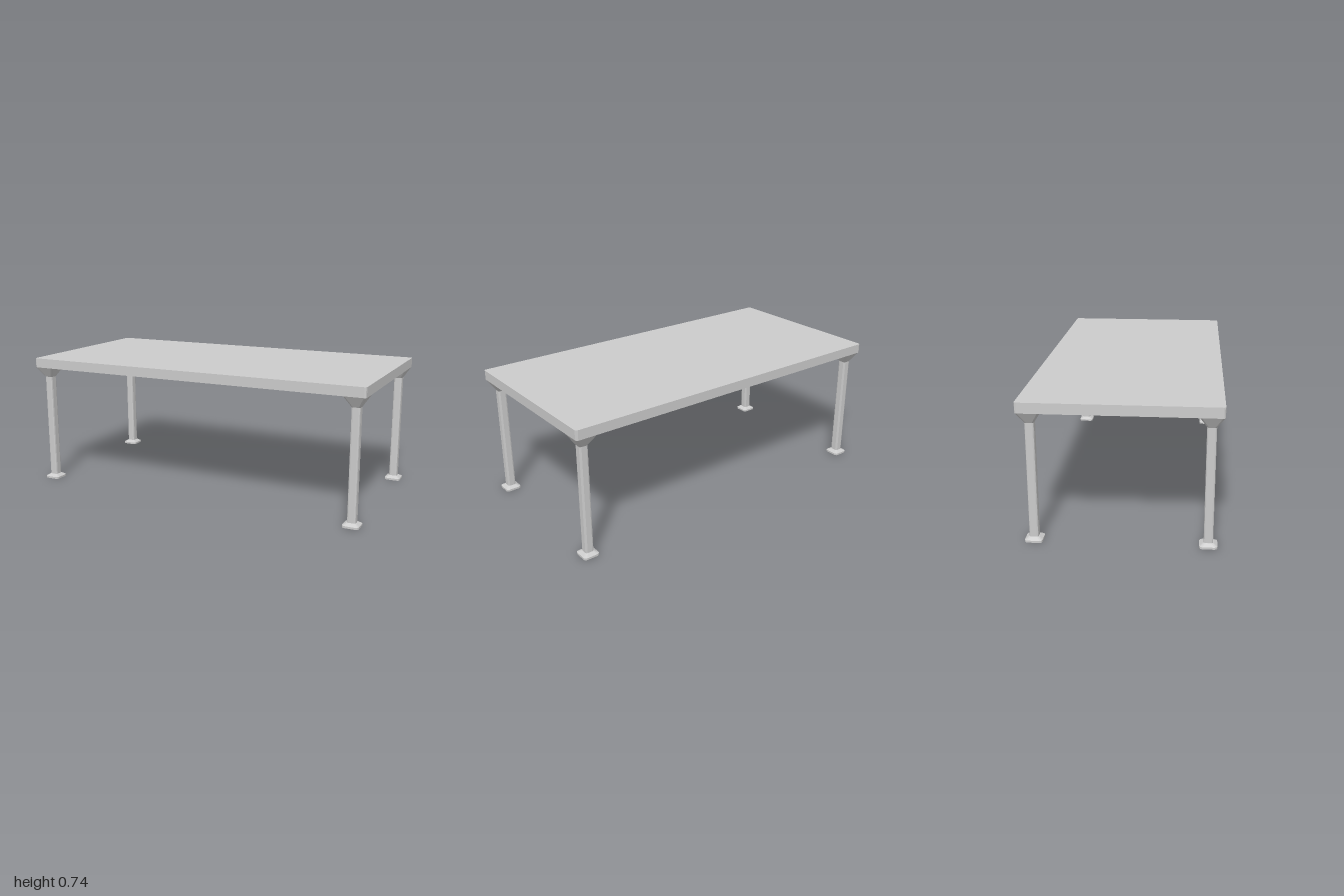
import * as THREE from 'three';

const material = new THREE.MeshStandardMaterial({ color: 0xcccccc, flatShading: true });
const CORNER_STEPS = 2;

// Rounded rectangle outline at height y, listed counter-clockwise seen from above
function ring(y, hx, hz, r) {
  const points = [];
  const corners = [[1, 1], [-1, 1], [-1, -1], [1, -1]];
  corners.forEach(([sx, sz], c) => {
    for (let i = 0; i <= CORNER_STEPS; i++) {
      const a = (c + i / CORNER_STEPS) * Math.PI / 2;
      points.push([sx * (hx - r) + r * Math.cos(a), y, sz * (hz - r) + r * Math.sin(a)]);
    }
  });
  return points;
}

// Capped solid through a stack of outlines, bottom to top
function loft(name, rings) {
  const n = rings[0].length;
  const index = [];
  for (let k = 0; k < rings.length - 1; k++) {
    for (let i = 0; i < n; i++) {
      const a = k * n + i, b = k * n + (i + 1) % n;
      index.push(a, a + n, b, b, a + n, b + n);
    }
  }
  const top = (rings.length - 1) * n;
  for (let i = 1; i < n - 1; i++) {
    index.push(0, i, i + 1);
    index.push(top, top + i + 1, top + i);
  }
  const geometry = new THREE.BufferGeometry();
  geometry.setAttribute('position', new THREE.Float32BufferAttribute(rings.flat(2), 3));
  geometry.setIndex(index);
  const flat = geometry.toNonIndexed();
  flat.computeVertexNormals();
  const mesh = new THREE.Mesh(flat, material);
  mesh.name = name;
  return mesh;
}

const square = (y, h, r) => ring(y, h, h, r);

function createLeg() {
  const leg = new THREE.Group();
  leg.name = 'leg';
  // Floor pad with sloped shoulders
  leg.add(loft('foot', [square(0, 0.045, 0.014), square(0.011, 0.045, 0.014), square(0.024, 0.025, 0.01)]));
  // Upright with softened corners
  leg.add(loft('post', [square(0.024, 0.0235, 0.009), square(0.628, 0.0235, 0.009)]));
  // Flared bracket under the top
  leg.add(loft('bracket', [square(0.627, 0.0235, 0.009), square(0.686, 0.0605, 0.012)]));
  return leg;
}

export function createModel() {
  const table = new THREE.Group();
  table.name = 'table';

  // Slab with small rounded corners
  table.add(loft('tableTop', [ring(0.686, 1, 0.497, 0.011), ring(0.74, 1, 0.497, 0.011)]));

  // Four corner legs
  for (const sx of [-1, 1]) {
    for (const sz of [-1, 1]) {
      const leg = createLeg();
      leg.position.set(sx * 0.939, 0, sz * 0.436);
      table.add(leg);
    }
  }
  return table;
}
